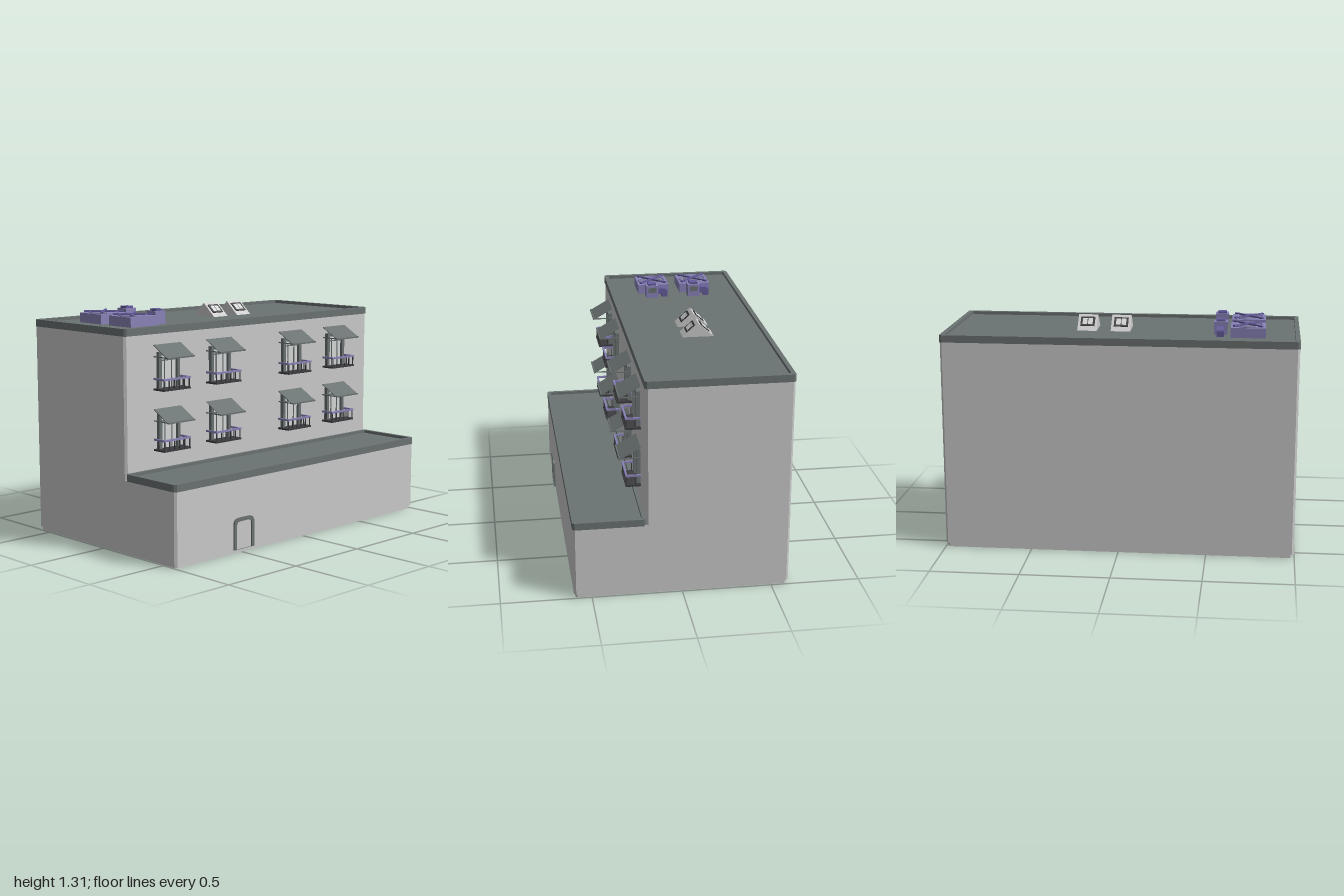
import * as THREE from 'three';

const mat = (name, color, side = THREE.FrontSide) => {
  const m = new THREE.MeshStandardMaterial({ color, side });
  m.name = name;
  return m;
};

export function createModel() {
  const wall = mat('light wall', 0xcbcbcb);
  const slate = mat('slate', 0x6b7272);
  const slateSheet = slate;
  const purple = mat('purple metal', 0x8983b8);
  const violet = mat('deep violet', 0x635c9c);
  const dark = mat('dark iron', 0x3c3c40);
  const glass = mat('pale glass', 0xd6d8d8);

  const model = new THREE.Group();
  model.name = 'building';

  const add = (parent, name, geo, material, x = 0, y = 0, z = 0) => {
    const m = new THREE.Mesh(geo, material);
    m.name = name;
    m.position.set(x, y, z);
    parent.add(m);
    return m;
  };
  const box = (parent, name, material, w, h, d, x, y, z) =>
    add(parent, name, new THREE.BoxGeometry(w, h, d), material, x, y, z);
  const group = (name, parent, x = 0, y = 0, z = 0) => {
    const g = new THREE.Group();
    g.name = name;
    g.position.set(x, y, z);
    parent.add(g);
    return g;
  };

  // Chamfered footprint extruded upwards; a rim width turns it into a ring
  const outline = (T, x, z0, z1, c) => {
    const s = new T();
    [[-x + c, -z1], [x - c, -z1], [x, -z1 + c], [x, -z0 - c], [x - c, -z0], [-x + c, -z0], [-x, -z0 - c], [-x, -z1 + c]]
      .forEach(([a, b], i) => (i ? s.lineTo(a, b) : s.moveTo(a, b)));
    s.closePath();
    return s;
  };
  const slab = (name, material, x, z0, z1, y0, y1, rim = 0, c = 0.012) => {
    const s = outline(THREE.Shape, x, z0, z1, c);
    if (rim) s.holes.push(outline(THREE.Path, x - rim, z0 + rim, z1 - rim, 0.004));
    const g = new THREE.ExtrudeGeometry(s, { depth: y1 - y0, bevelEnabled: false });
    g.rotateX(-Math.PI / 2);
    return add(model, name, g, material, 0, y0, 0);
  };

  // Main masses
  slab('plinth', wall, 0.99, -0.59, 0.59, 0, 0.022);
  slab('lowerStorey', wall, 0.998, -0.598, 0.598, 0.022, 0.415);
  slab('upperStoreys', wall, 0.998, -0.598, 0.2, 0.415, 1.202);
  slab('upperRoof', slate, 0.985, -0.585, 0.19, 1.202, 1.225);
  slab('upperParapet', slate, 1, -0.6, 0.206, 1.202, 1.243, 0.025);
  slab('lowerRoof', slate, 0.985, 0.2, 0.585, 0.413, 0.436);
  slab('lowerParapet', slate, 1, 0.198, 0.6, 0.413, 0.453, 0.022);

  // Arched door surround
  const arch = (T, hw, top, r) => {
    const s = new T();
    s.moveTo(-hw, 0);
    s.lineTo(hw, 0);
    s.lineTo(hw, top - r);
    s.quadraticCurveTo(hw, top, hw - r, top);
    s.lineTo(-hw + r, top);
    s.quadraticCurveTo(-hw, top, -hw, top - r);
    s.closePath();
    return s;
  };
  const door = group('door', model, -0.495, 0.022, 0.597);
  const frameShape = arch(THREE.Shape, 0.077, 0.178, 0.04);
  frameShape.holes.push(arch(THREE.Path, 0.058, 0.158, 0.026));
  add(door, 'doorFrame', new THREE.ExtrudeGeometry(frameShape, { depth: 0.011, bevelEnabled: false }), slate);
  add(door, 'doorLeaf', new THREE.ExtrudeGeometry(arch(THREE.Shape, 0.059, 0.159, 0.026), { depth: 0.003, bevelEnabled: false }), wall);

  // Window with balcony, measured from the balcony floor
  const buildWindow = (x, y) => {
    const w = group('window', model, x, y, 0.2);
    box(w, 'pane', glass, 0.13, 0.2, 0.006, 0, 0.105, 0.003);
    for (const s of [-1, 1]) {
      box(w, 'windowJamb', slate, 0.02, 0.21, 0.022, s * 0.068, 0.105, 0.011);
      box(w, 'sash', slate, 0.006, 0.165, 0.006, s * 0.026, 0.09, 0.007);
      box(w, 'sideRail', purple, 0.01, 0.011, 0.085, s * 0.095, 0.063, 0.0425);
      box(w, 'wallPost', dark, 0.005, 0.06, 0.005, s * 0.093, 0.03, 0.03);
    }
    box(w, 'windowHead', slate, 0.156, 0.02, 0.022, 0, 0.2, 0.011);
    box(w, 'transom', slate, 0.12, 0.007, 0.008, 0, 0.162, 0.006);
    box(w, 'balconyFloor', dark, 0.2, 0.01, 0.085, 0, 0.005, 0.0425);
    box(w, 'frontRail', purple, 0.2, 0.011, 0.01, 0, 0.063, 0.08);
    for (let i = 0; i < 6; i++)
      box(w, 'baluster', dark, 0.005, 0.055, 0.005, -0.093 + i * 0.0372, 0.033, 0.08);
  };

  // Sloping awning sheet over a thin bracket frame
  const buildAwning = (x, y) => {
    const a = group('awning', model, x, y, 0.2);
    const len = Math.hypot(0.113, 0.065);
    const sheet = box(a, 'awningSheet', slateSheet, 0.2, 0.004, len, 0, 0.031, 0.0575);
    sheet.rotation.x = Math.atan2(0.065, 0.113);
    for (const s of [-1, 1]) box(a, 'awningBracket', slate, 0.006, 0.006, 0.12, s * 0.096, 0, 0.06);
    box(a, 'awningBar', slate, 0.2, 0.008, 0.006, 0, -0.002, 0.117);
  };
  for (const x of [-0.695, -0.3, 0.295, 0.69]) {
    for (const i of [0, 1]) {
      buildWindow(x, 0.892 - i * 0.338);
      buildAwning(x, 1.078 - i * 0.356);
    }
  }

  // Rooftop cooling units, each with a fan box and a ducted vent
  for (const z of [-0.325, -0.065]) {
    const u = group('coolingUnit', model, -0.712, 1.225, z);
    box(u, 'fanBox', purple, 0.195, 0.056, 0.19, 0, 0.028, 0);
    const disc = (name, r0, r1, m, y) => {
      const g = new THREE.RingGeometry(r0, r1, 24);
      g.rotateX(-Math.PI / 2);
      add(u, name, g, m, 0, y, 0);
    };
    disc('fanWell', 0.001, 0.08, slate, 0.057);
    for (const r of [0.03, 0.058]) disc('fanRing', r, r + 0.013, purple, 0.059);
    const rim = add(u, 'fanRim', new THREE.TorusGeometry(0.081, 0.006, 6, 24), purple, 0, 0.058, 0);
    rim.rotation.x = Math.PI / 2;
    for (const s of [-1, 1])
      box(u, 'crossBar', violet, 0.225, 0.009, 0.014, 0, 0.064, 0).rotation.y = s * Math.PI / 4;

    const v = group('vent', u, 0.156, 0, 0.02);
    box(v, 'ventBox', purple, 0.075, 0.075, 0.075, 0, 0.0375, 0);
    box(v, 'ventCap', violet, 0.05, 0.012, 0.05, 0, 0.081, 0);
    for (const s of [-1, 1]) box(v, 'ventGrille', slate, 0.004, 0.03, 0.05, s * 0.037, 0.048, 0);
    // Elbow duct dropping to the roof behind the vent
    const e = new THREE.Shape();
    e.moveTo(0.035, 0.018);
    e.lineTo(0.062, 0.018);
    e.lineTo(0.062, 0);
    e.lineTo(0.097, 0);
    e.lineTo(0.097, 0.025);
    e.quadraticCurveTo(0.097, 0.052, 0.07, 0.052);
    e.lineTo(0.035, 0.052);
    e.closePath();
    const eg = new THREE.ExtrudeGeometry(e, { depth: 0.04, bevelEnabled: false, curveSegments: 5 });
    eg.translate(0, 0, -0.02);
    eg.rotateY(Math.PI / 2);
    add(v, 'elbowDuct', eg, violet);
  }

  // Gabled skylights with a framed pane on each slope
  for (const x of [0.017, 0.21]) {
    const k = group('skylight', model, x, 1.225, -0.2);
    const t = new THREE.Shape([new THREE.Vector2(-0.09, 0), new THREE.Vector2(0.09, 0), new THREE.Vector2(0, 0.08)]);
    const tg = new THREE.ExtrudeGeometry(t, { depth: 0.112, bevelEnabled: false });
    tg.translate(0, 0, -0.056);
    tg.rotateY(Math.PI / 2);
    add(k, 'skylightBody', tg, wall);
    for (const s of [0, 1]) {
      const side = group('skylightSlope', k);
      side.rotation.y = s * Math.PI;
      const face = group('skylightWindow', side, 0, 0.044, 0.0405);
      face.rotation.x = Math.atan2(0.08, 0.09);
      box(face, 'skylightFrame', dark, 0.082, 0.006, 0.066, 0, 0.001, 0);
      for (const p of [-1, 1]) box(face, 'skylightPane', glass, 0.027, 0.004, 0.044, p * 0.0155, 0.003, 0);
    }
  }
  return model;
}
